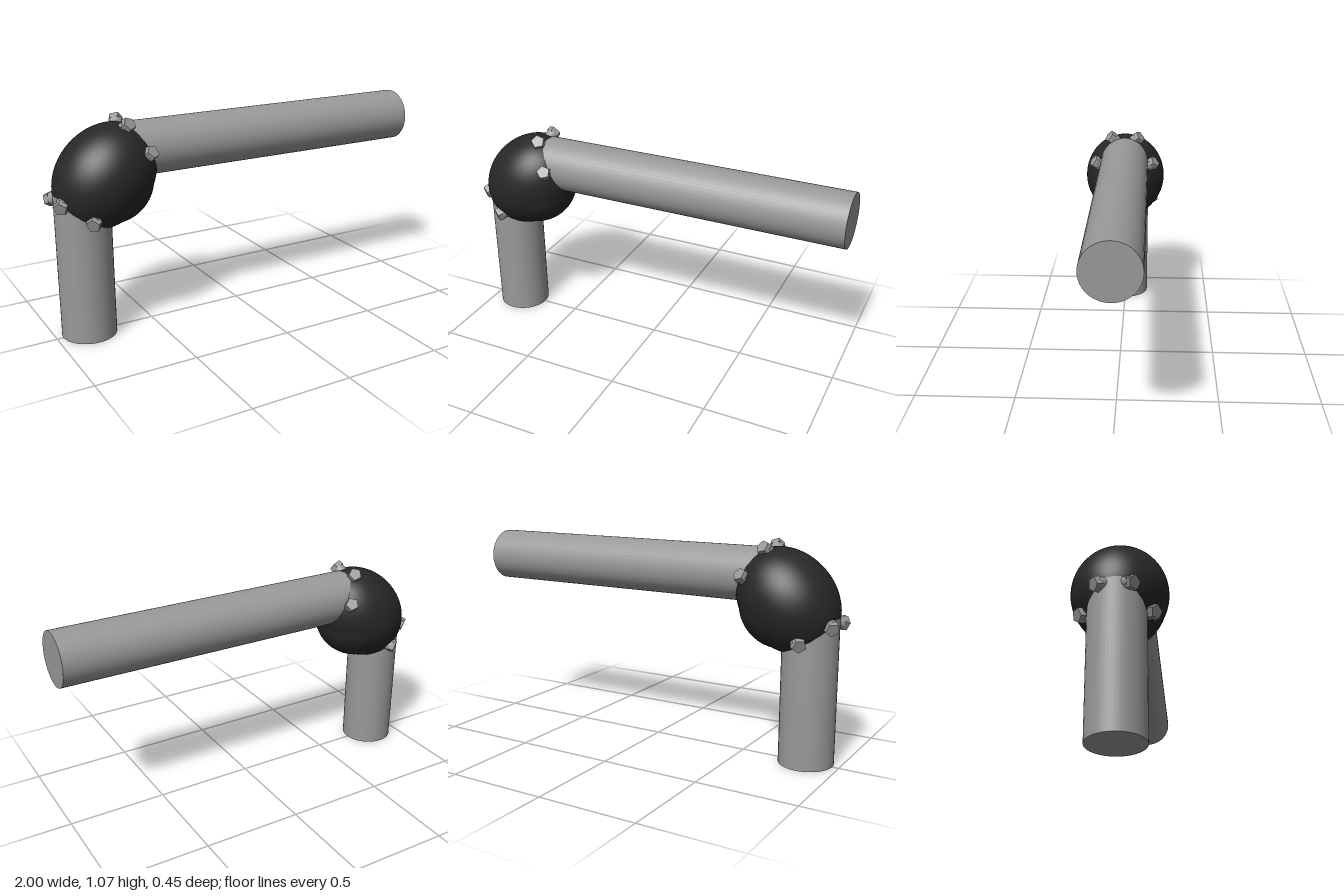
import * as THREE from 'three';

export function createModel() {
  const model = new THREE.Group();
  const steel = new THREE.MeshStandardMaterial({ color: 0x999999 });
  steel.name = 'steel grey';
  const rubber = new THREE.MeshStandardMaterial({ color: 0x272727 });
  rubber.name = 'joint black';
  const boltSteel = steel.clone();
  boltSteel.name = 'bolt grey';
  boltSteel.flatShading = true;

  const add = (parent, name, geometry, material) => {
    const mesh = new THREE.Mesh(geometry, material);
    mesh.name = name;
    parent.add(mesh);
    return mesh;
  };

  // Two pipes meeting at a right angle
  const R = 0.134;
  const upright = add(model, 'uprightPipe', new THREE.CylinderGeometry(R, R, 0.72, 48), steel);
  upright.position.set(-0.834, 0.36, 0);
  const arm = add(model, 'horizontalPipe', new THREE.CylinderGeometry(R, R, 1.6, 48), steel);
  arm.rotation.z = -Math.PI / 2;
  arm.position.set(0.2, 0.896, 0);

  // Joint: ellipsoid stretched along the diagonal, with a bulge on the inner corner
  const joint = new THREE.Group();
  joint.name = 'elbowJoint';
  joint.position.set(-0.7155, 0.7835, 0);
  model.add(joint);
  const shell = add(joint, 'jointShell', new THREE.SphereGeometry(0.225, 64, 40), rubber);
  shell.scale.set(0.2755 / 0.225, 1, 1);
  shell.rotation.z = Math.PI / 4;
  const bulge = add(joint, 'innerBulge', new THREE.SphereGeometry(0.2126, 64, 40), rubber);
  bulge.position.set(0.021, -0.021, 0);

  // Bolts: round stem under a five-sided head
  const up = new THREE.Vector3(0, 1, 0);
  const addBolt = (x, y, z, dx, dy, dz) => {
    const bolt = new THREE.Group();
    bolt.name = 'bolt';
    bolt.position.set(x, y, z);
    bolt.quaternion.setFromUnitVectors(up, new THREE.Vector3(dx, dy, dz).normalize());
    add(bolt, 'boltHead', new THREE.CylinderGeometry(0.034, 0.038, 0.026, 5), boltSteel);
    add(bolt, 'boltStem', new THREE.CylinderGeometry(0.032, 0.032, 0.08, 24), steel).position.y = -0.048;
    joint.add(bolt);
  };
  // Each bolt is mirrored front to back and across the joint's diagonal
  for (const [x, y, z] of [[0.0975, 0.2485, 0.08], [0.1725, 0.1255, 0.165]]) {
    for (const s of [1, -1]) {
      addBolt(x, y, s * z, 0.3, 0.6, s * 0.74);
      addBolt(-y, -x, s * z, -0.6, -0.3, s * 0.74);
    }
  }
  return model;
}
